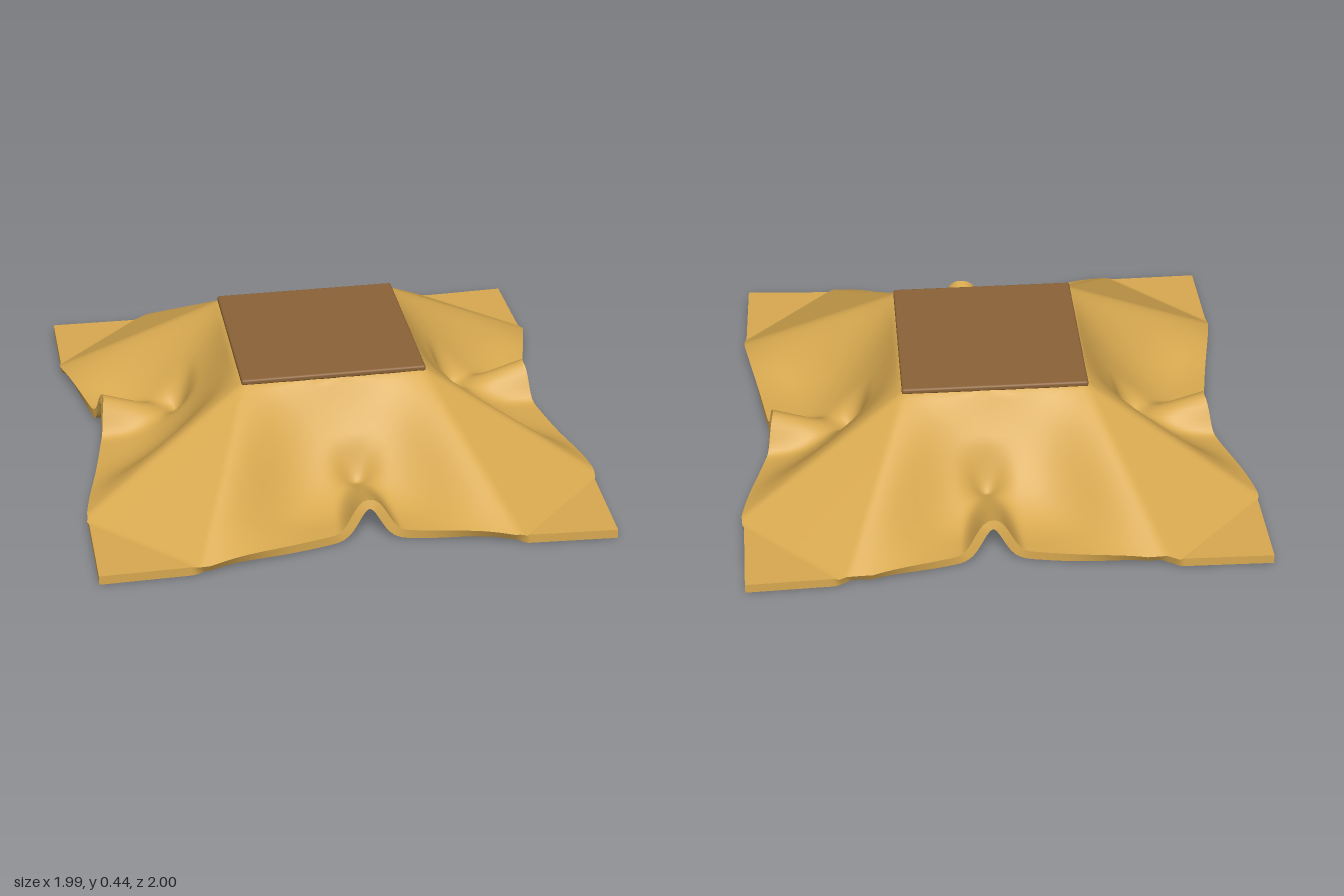
import * as THREE from 'three';
import { mergeVertices } from 'three/addons/utils/BufferGeometryUtils.js';
import { RoundedBoxGeometry } from 'three/addons/geometries/RoundedBoxGeometry.js';

const N = 150, HALF_THICK = 0.018, CX = 0.006, CZ = -0.012;
const GROUND = 0.02, TOP = 0.406, SHOULDER = 0.345;
const { smoothstep, clamp, lerp } = THREE.MathUtils;

// Cloth outline: [position along the side, distance from the centre]
const outline = {
  front: [[-1, 0.985], [-0.58, 0.98], [0.05, 0.83], [0.6, 0.97], [1, 0.995]],
  back: [[-1, 0.98], [-0.52, 0.97], [0.05, 0.86], [0.52, 0.985], [1, 1]],
  right: [[-1, 0.98], [-0.6, 0.985], [-0.1, 0.87], [0.58, 0.98], [1, 0.97]],
  left: [[-1, 0.99], [-0.62, 0.985], [-0.1, 0.855], [0.62, 0.975], [1, 0.97]],
};
function edge(points, t) {
  let i = 0;
  while (i < points.length - 2 && t > points[i + 1][0]) i++;
  const [a, b] = [points[i], points[i + 1]];
  return lerp(a[1], b[1], (t - a[0]) / (b[0] - a[0]));
}

// Straight fall from the shoulder to the ground at distance end
const fall = (d, end) => lerp(TOP, GROUND, clamp((d - SHOULDER) / (end - SHOULDER), 0, 1));

// Pinched fold in the middle of a side, rising outwards from a dip
function fold(h, d, t) {
  if (d < 0.46) return h;
  const crest = 0.055 + 0.34 * (d - 0.57);
  return h + (crest - h) * smoothstep(d, 0.46, 0.58) * Math.exp(-(Math.abs(t / 0.068) ** 2.3));
}

// Middle surface of the cloth
function height(x, z) {
  const p = Math.abs(x - CX), q = Math.abs(z - CZ);
  const m = Math.max(p, q), n = Math.min(p, q);
  // sagging side
  const s = clamp((m - SHOULDER) / 0.47, 0, 1);
  const side = GROUND + (TOP - GROUND) * (1 - s) ** 2.1;
  // two crests spread from each top corner, with a sloping plane between them
  const crestLine = SHOULDER + 0.39 * (m - SHOULDER);
  let h = fall((m + n) / 2, 0.8);
  if (n < crestLine) {
    const w = Math.exp(-(((crestLine - n) / 0.19) ** 2));
    h = side + Math.max(0, fall(m, 1) - side) * w;
  }
  h = fold(h, z, x - 0.055);
  h = fold(h, -z, x - 0.055);
  h = fold(h, x, z + 0.1);
  return fold(h, -x, z + 0.1);
}

function clothSurfaces() {
  const mid = new THREE.PlaneGeometry(2, 2, N, N).rotateX(-Math.PI / 2);
  const pos = mid.attributes.position;
  for (let i = 0; i < pos.count; i++) {
    const u = pos.getX(i), v = pos.getZ(i);
    const x = u * edge(u > 0 ? outline.right : outline.left, v);
    const z = v * edge(v > 0 ? outline.front : outline.back, u);
    pos.setXYZ(i, x, height(x, z), z);
  }
  mid.computeVertexNormals();

  // Offset the middle surface both ways to give the cloth its thickness
  const offset = (sign) => {
    const g = mid.clone(), p = g.attributes.position, n = mid.attributes.normal;
    for (let i = 0; i < p.count; i++) {
      const k = sign * HALF_THICK;
      p.setXYZ(i, p.getX(i) + n.getX(i) * k, Math.max(0, p.getY(i) + n.getY(i) * k), p.getZ(i) + n.getZ(i) * k);
    }
    if (sign < 0) g.index.array.reverse();
    g.computeVertexNormals();
    return g;
  };
  const top = offset(1), bottom = offset(-1);

  // Hem strip closing the four sides, each with its own vertices
  const verts = [], index = [], W = N + 1;
  const sides = [
    (i) => N * W + i,
    (i) => (N - i) * W + N,
    (i) => N - i,
    (i) => i * W,
  ];
  for (const at of sides) {
    const base = verts.length / 3;
    for (let i = 0; i <= N; i++) {
      for (const g of [bottom, top]) {
        const p = g.attributes.position, k = at(i);
        verts.push(p.getX(k), p.getY(k), p.getZ(k));
      }
      if (i < N) {
        const a = base + 2 * i;
        index.push(a, a + 2, a + 1, a + 2, a + 3, a + 1);
      }
    }
  }
  const hem = new THREE.BufferGeometry();
  hem.setAttribute('position', new THREE.Float32BufferAttribute(verts, 3));
  hem.setIndex(index);
  hem.computeVertexNormals();
  return { top, bottom, hem };
}

export function createModel() {
  const model = new THREE.Group();
  model.name = 'drapedCloth';
  const clothMaterial = new THREE.MeshStandardMaterial({ color: 0xd8a950 });
  clothMaterial.name = 'ochre cloth';
  const boardMaterial = new THREE.MeshStandardMaterial({ color: 0x8b6237 });
  boardMaterial.name = 'brown board';

  // Cloth sheet
  const cloth = new THREE.Group();
  cloth.name = 'cloth';
  const parts = clothSurfaces();
  for (const [name, geometry] of Object.entries(parts)) {
    const mesh = new THREE.Mesh(geometry, clothMaterial);
    mesh.name = 'cloth ' + name;
    cloth.add(mesh);
  }
  model.add(cloth);

  // Thin board resting on the flat top
  const board = new THREE.Mesh(mergeVertices(new RoundedBoxGeometry(0.716, 0.024, 0.716, 3, 0.009)), boardMaterial);
  board.name = 'top board';
  board.position.set(CX, 0.427, CZ);
  model.add(board);
  return model;
}
